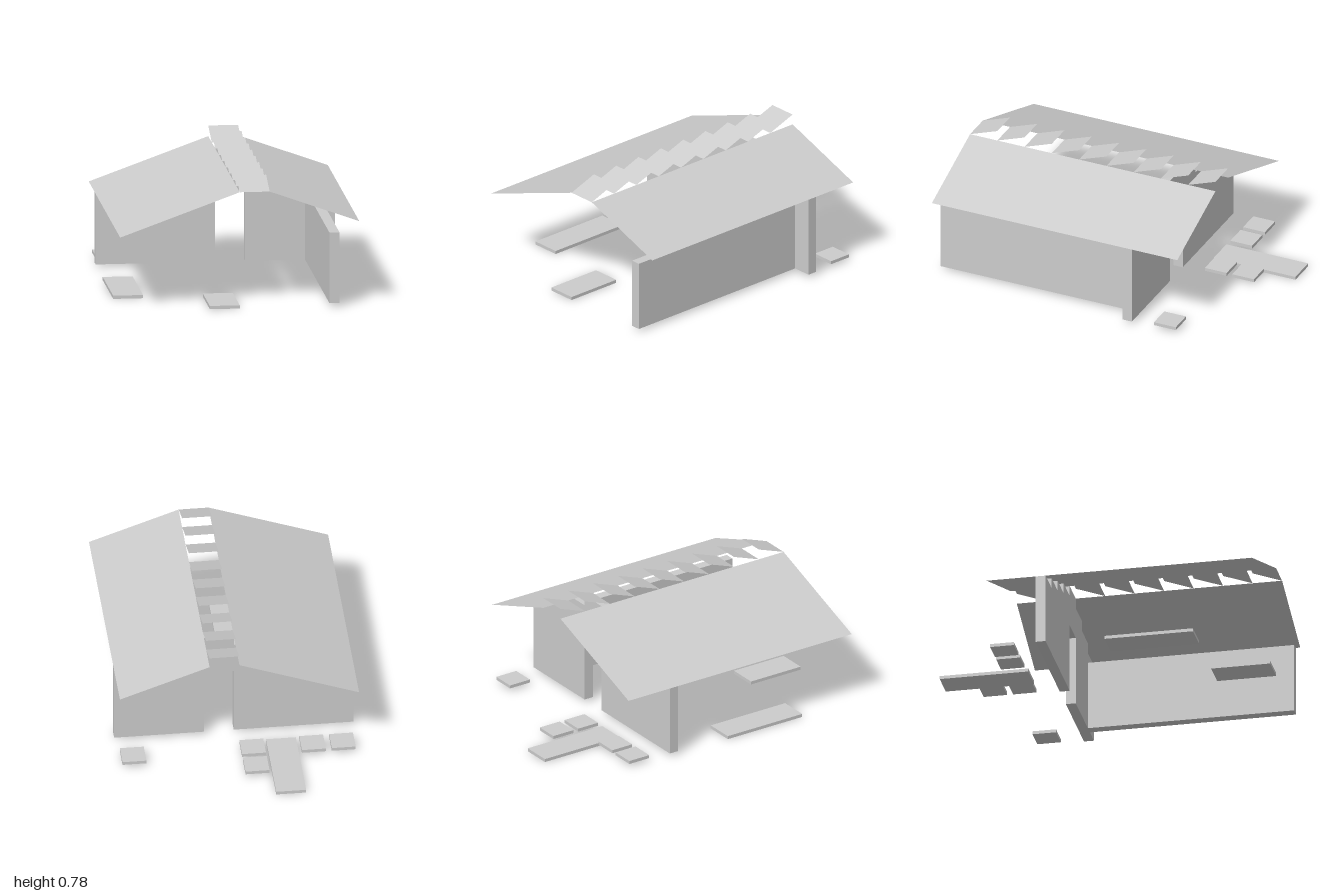
import * as THREE from 'three';

const U = 2 / 11;          // grid module
const RISE = 0.0655;       // roof rise per module
const RIDGE = 0.718;
const BASE = 0.02;         // top of the ground slabs
const EAVE = RIDGE - 4 * RISE;
const WALL = 0.061;        // wall thickness

export function createModel() {
  const group = new THREE.Group();
  const grey = new THREE.MeshStandardMaterial({ color: 0xcccccc });
  grey.name = 'light grey';
  const greySheet = grey;
  greySheet.side = THREE.DoubleSide;

  const add = (name, geometry) => {
    const mesh = new THREE.Mesh(geometry, grey);
    mesh.name = name;
    group.add(mesh);
    return mesh;
  };

  // box given by its lower and upper corners
  const box = (name, x0, x1, y0, y1, z0, z1) =>
    add(name, new THREE.BoxGeometry(x1 - x0, y1 - y0, z1 - z0))
      .position.set((x0 + x1) / 2, (y0 + y1) / 2, (z0 + z1) / 2);

  // flat sheet through four corners, counter-clockwise from above
  const sheet = (name, ...corners) => {
    const geometry = new THREE.BufferGeometry();
    geometry.setAttribute('position', new THREE.Float32BufferAttribute(corners.flat(), 3));
    geometry.setIndex([0, 1, 2, 0, 2, 3]);
    geometry.computeVertexNormals();
    add(name, geometry);
  };

  // roof planes either side of the open ridge
  const front = 1, back = 1 - 9 * U;
  sheet('rightRoof', [-4 * U, EAVE, front], [0, RIDGE, front], [0, RIDGE, back], [-4 * U, EAVE, back]);
  sheet('leftRoof', [U, RIDGE, front], [4 * U, EAVE + RISE, front],
    [4 * U, EAVE + RISE, back], [U, RIDGE, back]);

  // tilted ridge louvres
  for (let i = 0; i < 9; i++) {
    const z = front - i * U;
    sheet('ridgeLouvre', [0, RIDGE, z], [U, RIDGE, z],
      [U, RIDGE + RISE, z - U], [0, RIDGE + RISE, z - U]);
  }

  // stepped cross wall with a doorway
  const outline = [[-4 * U, BASE]];
  for (let i = -4; i <= 0; i++) {
    const y = RIDGE + i * RISE;
    outline.push([i * U, y], [(i + 1) * U, y]);
  }
  for (let i = 1; i <= 3; i++) {
    const y = RIDGE - i * RISE;
    outline.push([i * U, y], [(i + 1) * U, y]);
  }
  outline.push([4 * U, BASE], [U, BASE], [U, EAVE], [0, EAVE], [0, BASE]);
  const shape = new THREE.Shape(outline.map(([x, y]) => new THREE.Vector2(x, y)));
  add('steppedWall', new THREE.ExtrudeGeometry(shape, { depth: WALL, bevelEnabled: false }))
    .position.z = -1.5 * U - WALL;

  // long side wall
  box('sideWall', 3 * U, 3 * U + WALL, BASE, EAVE, -1.5 * U, 1);

  // ground slabs
  box('groundSlab', -4 * U, -3 * U, 0, BASE, 0.5 * U, 3.5 * U);
  box('groundSlab', -U, 0, 0, BASE, 3.5 * U, 5.5 * U);
  box('groundSlab', -2 * U, -U, 0, BASE, -5.5 * U, -2.5 * U);

  // small stepping tiles behind the wall
  const half = 0.4 * U;
  for (const [cx, cz] of [[3.5, -3], [-0.5, -3], [-0.5, -4], [-2.5, -3], [-3.5, -3]]) {
    box('steppingTile', cx * U - half, cx * U + half, BASE, 2 * BASE, cz * U - half, cz * U + half);
  }
  return group;
}
